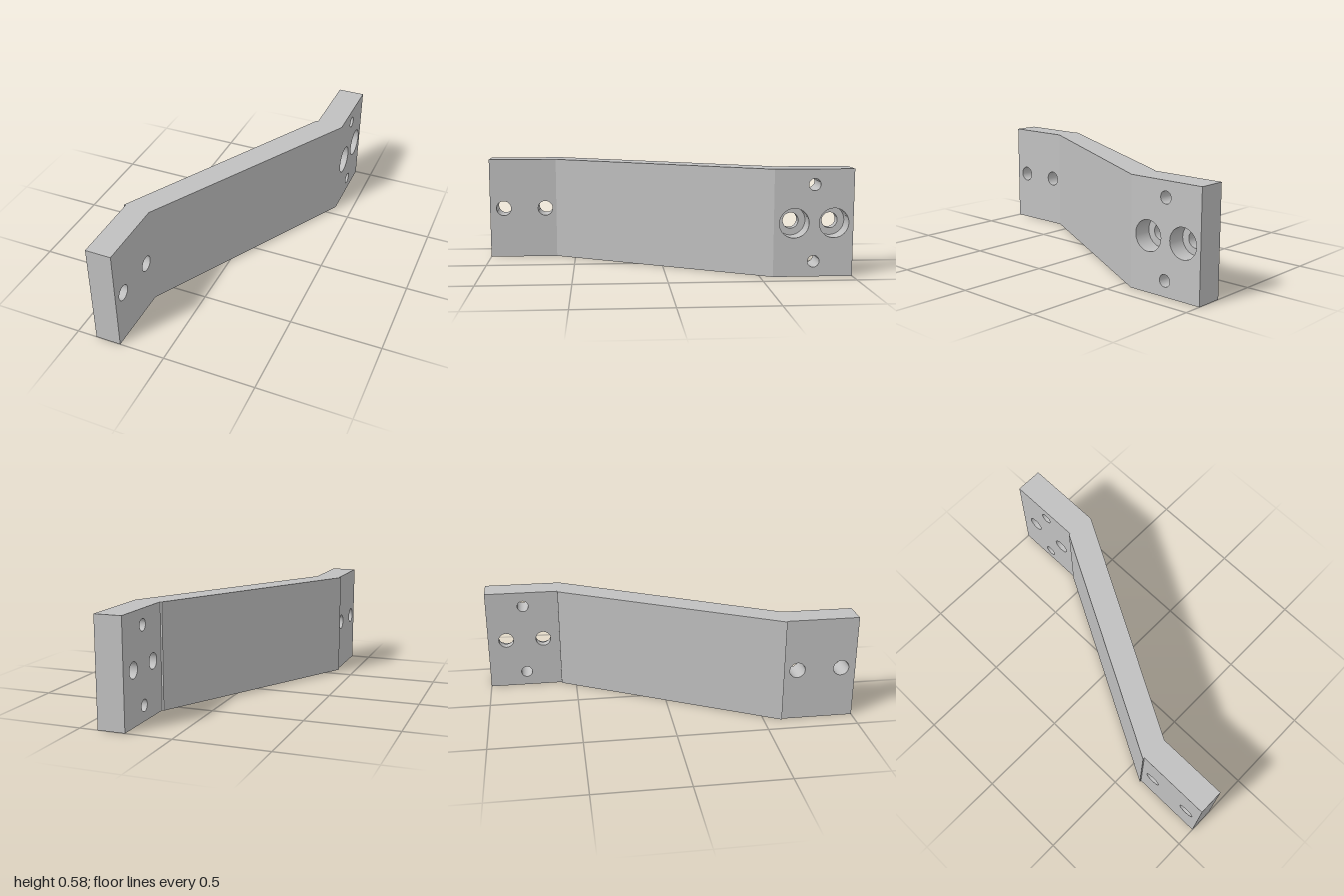
import * as THREE from 'three';

const HEIGHT = 0.58;
const MID = HEIGHT / 2;

// Plan outline as [x, z], ordered so that every wall faces outward
const OUTLINE = [
  [0.4, -0.57], [0.4, -1], [0.25, -1], [0.25, -0.585], [0.24, -0.585],
  [-0.4, 0.6], [-0.39, 0.6], [-0.39, 1], [-0.25, 1], [-0.25, 0.61],
];
const WALL_NAMES = [
  'rearPadLeftFace', 'rearPadEnd', 'rearPadRightFace', 'rearStep', 'armRightFace',
  'frontStep', 'frontPadRightFace', 'frontPadEnd', 'frontPadLeftFace', 'armLeftFace',
];

// Each bore is a run of [radius, x] from its left opening to its right opening
const BORES = [
  ...[-0.68, -0.895].map((z) => ({
    name: 'counterbore', y: MID, z, profile: [[0.08, 0.4], [0.08, 0.3], [0.043, 0.3], [0.043, 0.25]],
  })),
  ...[0.083, 0.497].map((y) => ({
    name: 'pinHole', y, z: -0.787, profile: [[0.032, 0.4], [0.032, 0.25]],
  })),
  ...[0.92, 0.675].map((z) => ({
    name: 'boltHole', y: MID, z, profile: [[0.043, -0.25], [0.043, -0.39]],
  })),
];

export function createModel() {
  const model = new THREE.Group();
  model.name = 'offsetBracket';
  const grey = new THREE.MeshStandardMaterial({ color: 0xc0c0c0 });
  grey.name = 'grey metal';

  const add = (name, geometry, parent = model) => {
    const mesh = new THREE.Mesh(geometry, grey);
    mesh.name = name;
    parent.add(mesh);
    return mesh;
  };

  // Top and bottom faces
  const plan = (sign) => new THREE.ShapeGeometry(
    new THREE.Shape(OUTLINE.map(([x, z]) => new THREE.Vector2(x, sign * z))));
  add('topFace', plan(-1).rotateX(-Math.PI / 2)).position.y = HEIGHT;
  add('bottomFace', plan(1).rotateX(Math.PI / 2));

  // Side walls, pierced where a bore opens onto them
  OUTLINE.forEach(([ax, az], i) => {
    const [bx, bz] = OUTLINE[(i + 1) % OUTLINE.length];
    const length = Math.hypot(bx - ax, bz - az);
    const shape = new THREE.Shape([[0, 0], [length, 0], [length, HEIGHT], [0, HEIGHT]]
      .map(([u, v]) => new THREE.Vector2(u, v)));
    if (ax === bx) {
      for (const { y, z, profile } of BORES) {
        const opening = [profile[0], profile[profile.length - 1]].find(([, x]) => x === ax);
        if (!opening) continue;
        const hole = new THREE.Path();
        hole.absarc(Math.abs(z - az), y, opening[0], 0, Math.PI * 2);
        shape.holes.push(hole);
      }
    }
    const wall = add(WALL_NAMES[i], new THREE.ShapeGeometry(shape, 20));
    wall.position.set(ax, 0, az);
    wall.rotation.y = Math.atan2(az - bz, bx - ax);
  });

  // Inner surfaces of the bores, one band per step to keep the rims sharp
  for (const { name, y, z, profile } of BORES) {
    const bore = new THREE.Group();
    bore.name = name;
    bore.position.set(0, y, z);
    for (let i = 0; i < profile.length - 1; i++) {
      const band = profile.slice(i, i + 2).map(([r, x]) => new THREE.Vector2(r, x));
      add(name + 'Surface', new THREE.LatheGeometry(band, 40).rotateZ(-Math.PI / 2), bore);
    }
    model.add(bore);
  }
  return model;
}
